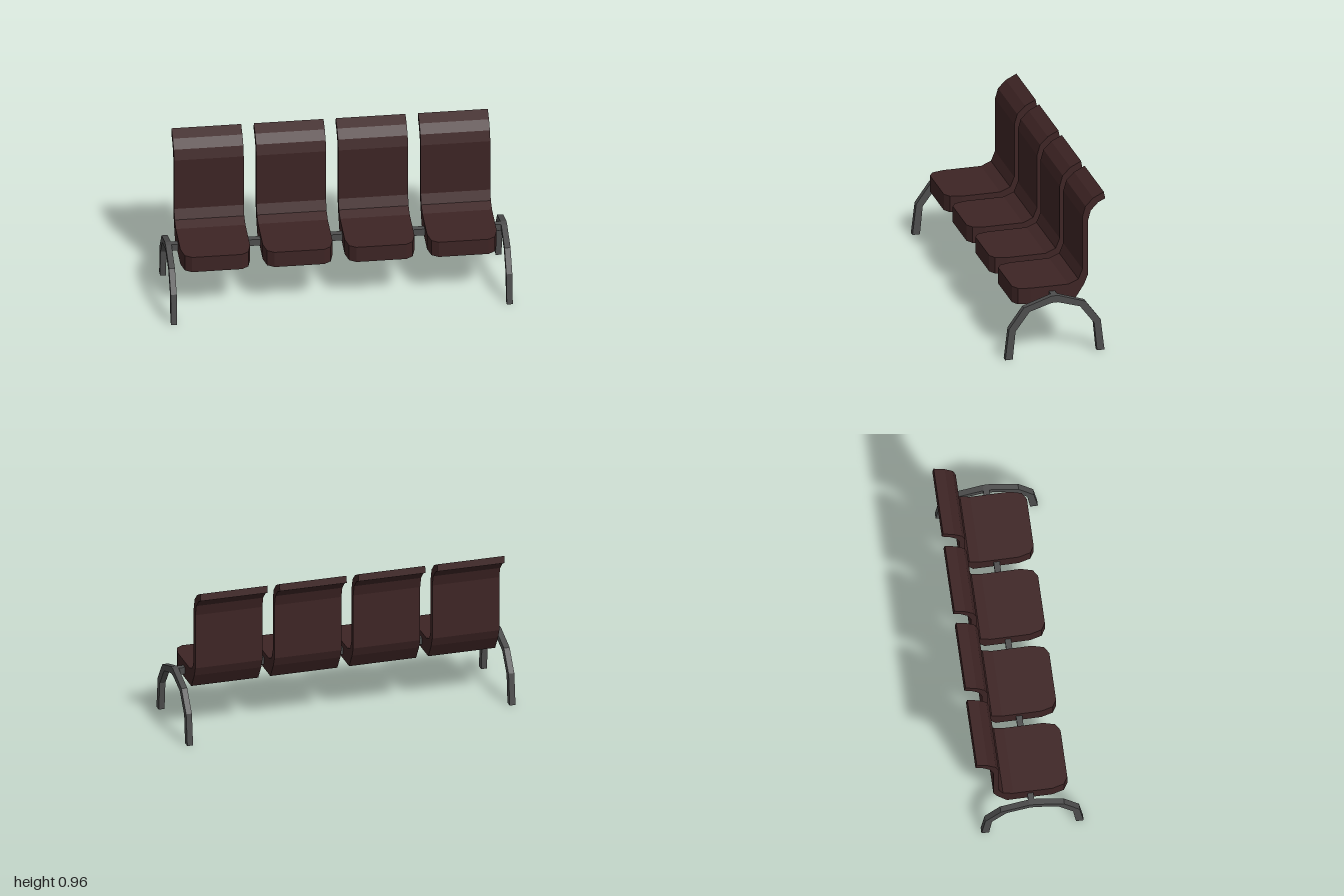
import * as THREE from 'three';

const shapeOf = (pts) => new THREE.Shape(pts.map(([a, b]) => new THREE.Vector2(a, b)));
const material = (color) => new THREE.MeshStandardMaterial({ color, flatShading: true });

// Extrude a side profile of [z, y] points along x, centred on x = 0
function sideExtrude(pts, width) {
  const g = new THREE.ExtrudeGeometry(shapeOf(pts), { depth: width, bevelEnabled: false });
  return g.translate(0, 0, -width / 2).rotateY(-Math.PI / 2);
}

// Extrude a plan outline of [x, z] points upwards from y0 to y1
function planExtrude(pts, y0, y1) {
  const shape = shapeOf(pts.map(([x, z]) => [x, -z]));
  const g = new THREE.ExtrudeGeometry(shape, { depth: y1 - y0, bevelEnabled: false });
  return g.rotateX(-Math.PI / 2).translate(0, y0, 0);
}

function addMesh(parent, name, geometry, mat) {
  const mesh = new THREE.Mesh(geometry, mat);
  mesh.name = name;
  parent.add(mesh);
  return mesh;
}

export function createModel() {
  const bench = new THREE.Group();
  bench.name = 'seatingBench';
  const seatMat = material(0x3d2424);
  const metalMat = material(0x4d4d4d);

  // Seat pan with clipped front corners
  const w = 0.408, h = w / 2;
  const half = [[h, -0.09], [h, 0.14], [h - 0.018, 0.21], [h - 0.058, 0.235]];
  const mirrored = half.map(([x, z]) => [-x, z]).reverse();
  const cushionGeo = planExtrude([...half, ...mirrored], 0.305, 0.405);

  // Backrest curving up from the pan and rolling over backwards at the top
  const backGeo = sideExtrude([
    [-0.09, 0.305], [-0.09, 0.405], [-0.15, 0.43], [-0.175, 0.49], [-0.175, 0.82],
    [-0.193, 0.883], [-0.24, 0.93], [-0.304, 0.962], [-0.312, 0.92], [-0.27, 0.9],
    [-0.225, 0.853], [-0.207, 0.787], [-0.207, 0.45], [-0.185, 0.395], [-0.127, 0.305],
  ], w);

  [-0.722, -0.24, 0.24, 0.722].forEach((x, i) => {
    const seat = new THREE.Group();
    seat.name = `seat${i + 1}`;
    seat.position.x = x;
    addMesh(seat, 'seatPan', cushionGeo, seatMat);
    addMesh(seat, 'backrest', backGeo, seatMat);
    bench.add(seat);
  });

  // Arched leg frames at both ends
  const outer = [[0.313, 0], [0.29, 0.192], [0.2, 0.317], [0.032, 0.373],
    [-0.006, 0.373], [-0.173, 0.317], [-0.264, 0.192], [-0.287, 0]];
  const inner = [[0.268, 0], [0.251, 0.174], [0.165, 0.289], [0.032, 0.33],
    [-0.006, 0.33], [-0.139, 0.289], [-0.225, 0.174], [-0.242, 0]];
  const legGeo = sideExtrude([...outer, ...inner.reverse()], 0.035);
  for (const [name, side] of [['leftLegs', 1], ['rightLegs', -1]]) {
    addMesh(bench, name, legGeo, metalMat).position.x = side * 0.9825;
  }

  // Beam carrying the seats between the legs
  const beam = addMesh(bench, 'supportBeam', new THREE.BoxGeometry(1.94, 0.042, 0.036), metalMat);
  beam.position.set(0, 0.352, 0.01);

  return bench;
}
